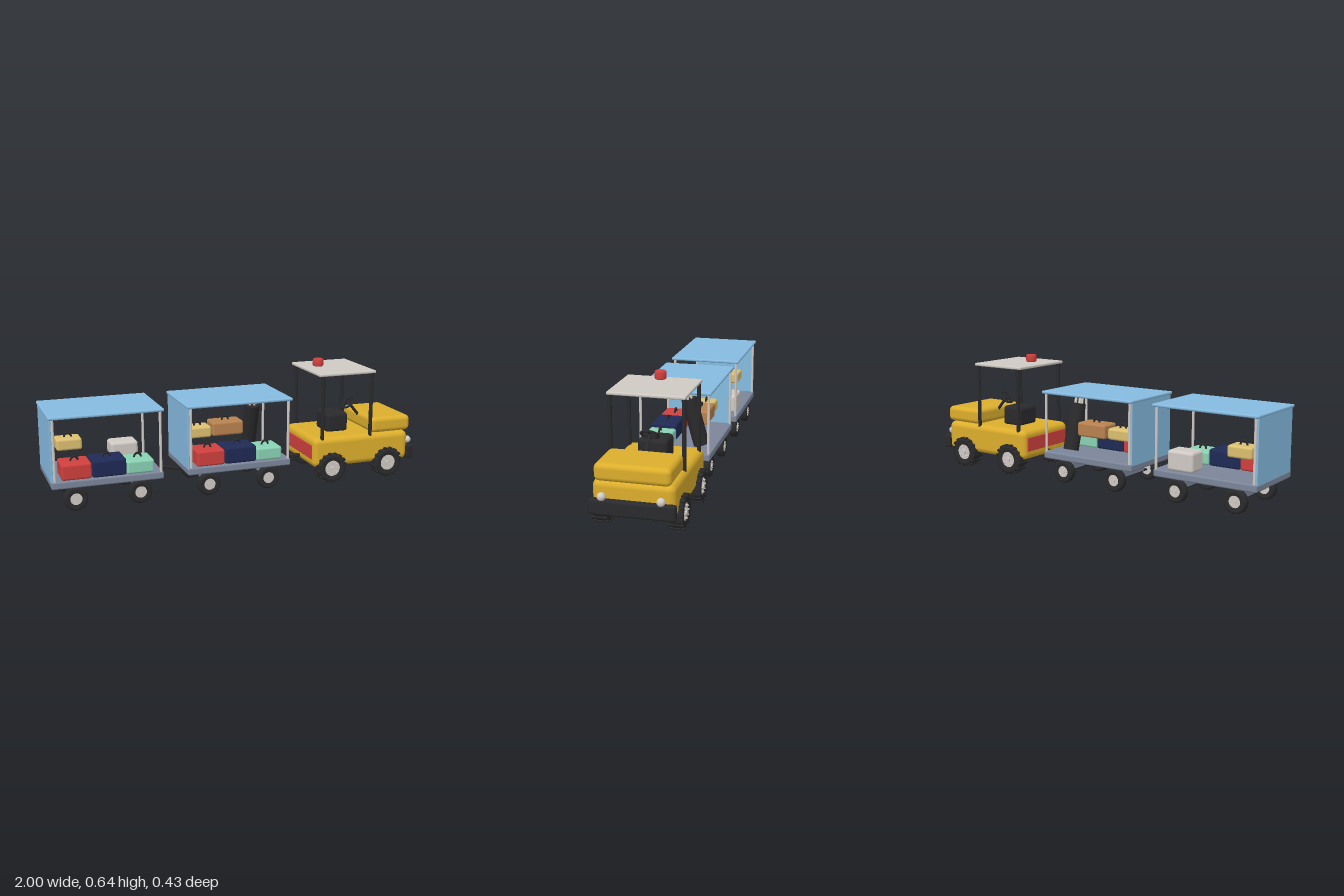
import * as THREE from 'three';
import { RoundedBoxGeometry } from 'three/addons/geometries/RoundedBoxGeometry.js';

const material = (name, color) => {
  const m = new THREE.MeshStandardMaterial({ color });
  m.name = name;
  return m;
};

export function createModel() {
  const M = {
    yellow: material('bodyYellow', 0xdcae2c),
    blue: material('canopyBlue', 0x86bbe0),
    slate: material('deckSlate', 0x7c869a),
    silver: material('silver', 0xd0cac4),
    black: material('rubberBlack', 0x2a2a2c),
    red: material('red', 0xd0403e),
    navy: material('navy', 0x1f2a55),
    mint: material('mint', 0x8ad2b4),
    tan: material('tan', 0xdcc070),
    brown: material('leatherBrown', 0xb9824f),
  };

  const add = (parent, name, geo, mat, x = 0, y = 0, z = 0) => {
    const mesh = new THREE.Mesh(geo, mat);
    mesh.name = name;
    mesh.position.set(x, y, z);
    parent.add(mesh);
    return mesh;
  };
  const group = (parent, name, x = 0, y = 0, z = 0) => {
    const g = new THREE.Group();
    g.name = name;
    g.position.set(x, y, z);
    parent.add(g);
    return g;
  };
  // Rounded box given by its min and max on each axis
  const block = (parent, name, mat, [x0, x1], [y0, y1], [z0, z1], r) =>
    add(parent, name, new RoundedBoxGeometry(x1 - x0, y1 - y0, z1 - z0, 3, r), mat,
      (x0 + x1) / 2, (y0 + y1) / 2, (z0 + z1) / 2);
  // Cylinder between two points
  const rod = (parent, name, mat, a, b, r) => {
    const p = new THREE.Vector3(...a), q = new THREE.Vector3(...b);
    const dir = q.clone().sub(p);
    const mesh = add(parent, name, new THREE.CylinderGeometry(r, r, dir.length(), 12), mat);
    mesh.position.copy(p).add(q).multiplyScalar(0.5);
    mesh.quaternion.setFromUnitVectors(new THREE.Vector3(0, 1, 0), dir.normalize());
    return mesh;
  };

  // Wheel with rounded tyre, hub and bolts; the axle runs along z
  const wheel = (parent, name, x, z, R, width, lugs) => {
    const g = group(parent, name, x, R, z);
    const h = width / 2, t = lugs ? R * 0.94 : R;
    const profile = [[0.5 * R, -h * 0.8], [0.8 * t, -h], [0.94 * t, -h * 0.85], [t, -h * 0.5],
      [t, h * 0.5], [0.94 * t, h * 0.85], [0.8 * t, h], [0.5 * R, h * 0.8]]
      .map(([r, y]) => new THREE.Vector2(r, y));
    add(g, 'tyre', new THREE.LatheGeometry(profile, 28), M.black).rotation.x = Math.PI / 2;
    add(g, 'hub', new THREE.CylinderGeometry(0.53 * R, 0.53 * R, width * 0.8, 24), M.silver).rotation.x = Math.PI / 2;
    add(g, 'hubCap', new THREE.CylinderGeometry(0.17 * R, 0.17 * R, width * 1.04, 14), M.silver).rotation.x = Math.PI / 2;
    for (let i = 0; i < 8; i++) {
      const a = i * Math.PI / 4;
      add(g, 'bolt', new THREE.CylinderGeometry(0.05 * R, 0.05 * R, width * 1.02, 6), M.silver,
        Math.cos(a) * 0.37 * R, Math.sin(a) * 0.37 * R, 0).rotation.x = Math.PI / 2;
    }
    for (let i = 0; i < lugs; i++) {
      const a = (i + 0.5) * 2 * Math.PI / lugs;
      add(g, 'treadLug', new THREE.BoxGeometry(R * 0.12, R * 0.16, width), M.black,
        Math.cos(a) * R * 0.935, Math.sin(a) * R * 0.935, 0).rotation.z = a;
    }
  };

  // Suitcase with an arched handle on top
  const suitcase = (parent, name, mat, x, y, z, w, h, d) => {
    const g = group(parent, name, x, y, z);
    add(g, 'case', new RoundedBoxGeometry(w, h, d, 3, 0.012), mat, 0, h / 2, 0);
    const arch = add(g, 'handle', new THREE.TorusGeometry(0.018, 0.005, 8, 14, Math.PI), M.black, 0, h - 0.002, 0);
    arch.scale.y = 1.25;
  };

  const model = new THREE.Group();
  model.name = 'luggageTrain';

  // ---- Tractor ----
  const tractor = group(model, 'tractor');
  block(tractor, 'body', M.yellow, [0.388, 0.953], [0.087, 0.249], [-0.193, 0.193], 0.032);
  block(tractor, 'hood', M.yellow, [0.735, 0.97], [0.247, 0.332], [-0.179, 0.179], 0.025);
  block(tractor, 'bumper', M.black, [0.942, 0.982], [0.092, 0.166], [-0.202, 0.202], 0.012);
  block(tractor, 'rearPlate', M.red, [0.382, 0.392], [0.135, 0.21], [-0.165, 0.165], 0.003);
  block(tractor, 'seat', M.black, [0.517, 0.645], [0.24, 0.352], [-0.074, 0.074], 0.022);
  block(tractor, 'canopy', M.silver, [0.415, 0.745], [0.581, 0.597], [-0.187, 0.187], 0.006);
  block(tractor, 'hitch', M.black, [0.28, 0.4], [0.105, 0.122], [-0.012, 0.012], 0.004);

  for (const z of [-0.176, 0.176]) {
    for (const x of [0.441, 0.725]) rod(tractor, 'canopyPost', M.black, [x, 0.23, z], [x, 0.583, z], 0.01);
  }
  for (const z of [-0.137, 0.137]) {
    add(tractor, 'headlight', new THREE.SphereGeometry(0.02, 20, 14), M.silver, 0.98, 0.183, z);
  }
  for (const z of [-0.18, 0.18]) {
    for (const x of [0.492, 0.824]) wheel(tractor, 'tractorWheel', x, z, 0.085, 0.072, 16);
  }

  // Warning light with softened rims
  const beacon = [[0, -0.02], [0.025, -0.02], [0.029, -0.015], [0.029, 0.014], [0.024, 0.02], [0, 0.02]]
    .map(([r, y]) => new THREE.Vector2(r, y));
  add(tractor, 'beacon', new THREE.LatheGeometry(beacon, 24), M.red, 0.49, 0.625, 0);

  // Steering wheel, tilted towards the seat
  const steering = group(tractor, 'steering', 0.68, 0.387, 0);
  steering.rotation.z = 0.7;
  add(steering, 'steeringRing', new THREE.TorusGeometry(0.041, 0.006, 8, 28), M.black).rotation.x = Math.PI / 2;
  rod(steering, 'steeringColumn', M.black, [0, 0.004, 0], [0, -0.14, 0], 0.008);
  for (let i = 0; i < 3; i++) {
    const a = i * 2 * Math.PI / 3;
    rod(steering, 'spoke', M.black, [0, 0, 0], [Math.cos(a) * 0.04, 0, Math.sin(a) * 0.04], 0.004);
  }

  // ---- Baggage carts ----
  const cart = (name, x) => {
    const g = group(model, name, x);
    block(g, 'deck', M.slate, [-0.282, 0.28], [0.122, 0.16], [-0.188, 0.188], 0.008);
    block(g, 'roof', M.blue, [-0.286, 0.286], [0.47, 0.486], [-0.195, 0.195], 0.007);
    block(g, 'endPanel', M.blue, [-0.282, -0.272], [0.15, 0.472], [-0.18, 0.18], 0.002);
    for (const z of [-0.178, 0.178]) {
      for (const px of [-0.265, 0.267]) rod(g, 'roofPost', M.silver, [px, 0.15, z], [px, 0.473, z], 0.007);
      for (const px of [-0.163, 0.163]) wheel(g, 'cartWheel', px, z * 0.87, 0.06, 0.042, 0);
    }
    for (const px of [-0.163, 0.163]) {
      rod(g, 'axle', M.black, [px, 0.06, -0.14], [px, 0.06, 0.14], 0.007);
      block(g, 'axleBracket', M.slate, [px - 0.012, px + 0.012], [0.06, 0.13], [-0.1, 0.1], 0.004);
    }
    rod(g, 'towBar', M.black, [0.26, 0.14, 0], [0.41, 0.108, 0], 0.008);
    // Luggage carried by both carts
    suitcase(g, 'redSuitcase', M.red, -0.155, 0.158, 0.105, 0.15, 0.082, 0.14);
    suitcase(g, 'navySuitcase', M.navy, 0.007, 0.158, 0.105, 0.172, 0.087, 0.14);
    suitcase(g, 'mintSuitcase', M.mint, 0.165, 0.158, 0.105, 0.14, 0.068, 0.14);
    suitcase(g, 'tanSuitcase', M.tan, -0.153, 0.255, -0.07, 0.13, 0.06, 0.1);
    return g;
  };

  const frontCart = cart('frontCart', -0.024);
  const rearCart = cart('rearCart', -0.714);
  suitcase(frontCart, 'brownSuitcase', M.brown, 0.007, 0.255, -0.08, 0.175, 0.075, 0.11);
  block(rearCart, 'silverCase', M.silver, [0.067, 0.212], [0.158, 0.262], [-0.17, -0.06], 0.016);

  // Leaning club bag with shafts standing out of the top
  const bag = group(frontCart, 'clubBag', 0.152, 0.17, -0.115);
  bag.rotation.x = 0.27;
  add(bag, 'bagBody', new THREE.CylinderGeometry(0.041, 0.041, 0.25, 24), M.black, 0, 0.125, 0);
  for (let i = 0; i < 5; i++) {
    const a = i * 2 * Math.PI / 5;
    const sx = Math.cos(a) * 0.021, sz = Math.sin(a) * 0.016;
    rod(bag, 'clubShaft', M.silver, [sx, 0.2, sz], [sx, 0.306, sz], 0.006);
  }

  return model;
}
